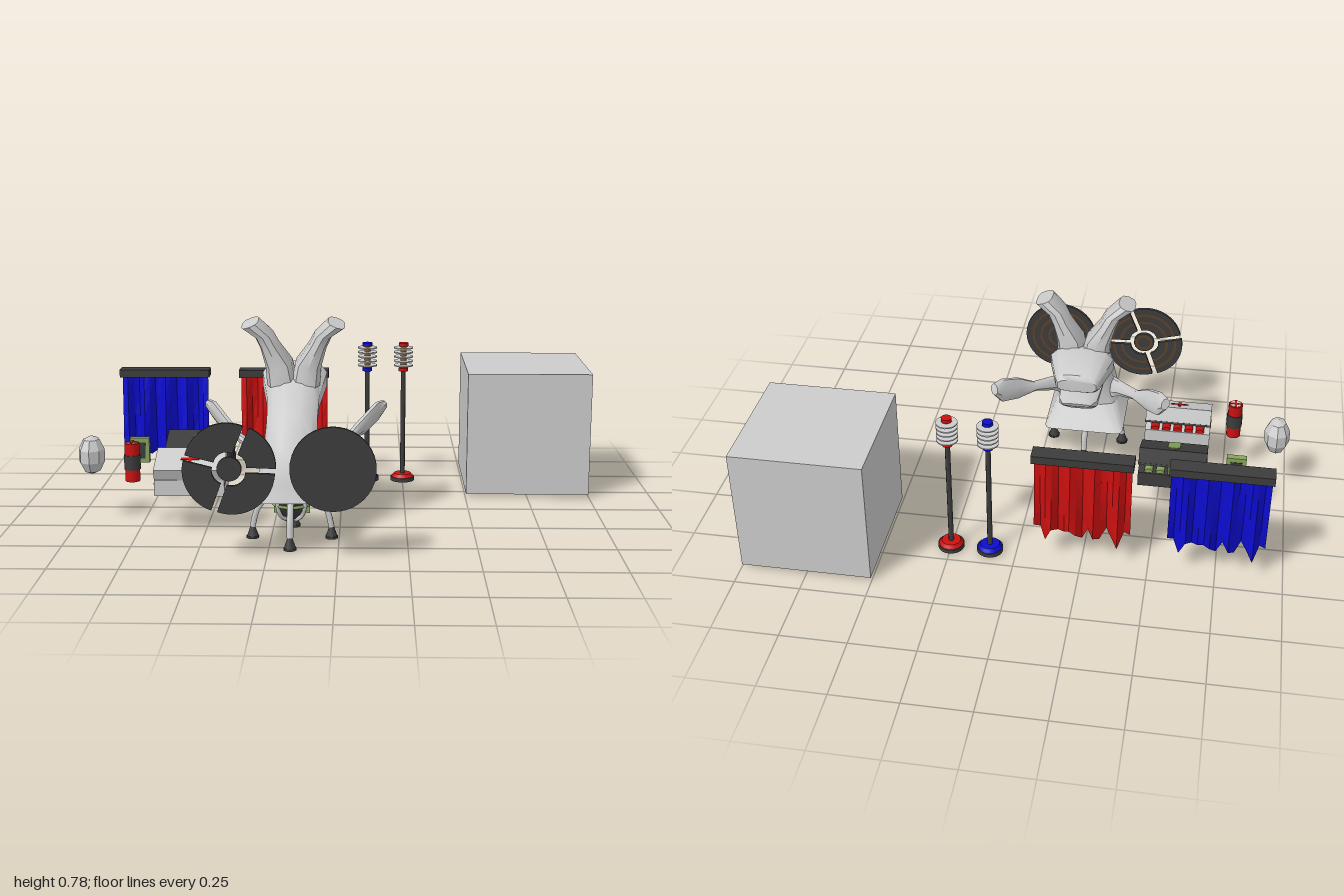
import * as THREE from 'three';
import { toCreasedNormals } from 'three/addons/utils/BufferGeometryUtils.js';

const mat = (color, o = {}) => new THREE.MeshStandardMaterial({ color, ...o });
const GREY = mat(0xcccccc), FACET = mat(0xcccccc, { flatShading: true }), DARK = mat(0x3c3c3c);
const RED = mat(0xcc1010), BLUE = mat(0x0c0cd0), GREEN = mat(0x86a45a), BROWN = mat(0x8a5c24);
const SKIN = mat(0xcccccc, { side: THREE.DoubleSide });

function add(parent, name, geo, material, x = 0, y = 0, z = 0) {
  const m = new THREE.Mesh(geo, material);
  m.name = name;
  m.position.set(x, y, z);
  parent.add(m);
  return m;
}
function group(parent, name, x = 0, y = 0, z = 0) {
  const g = new THREE.Group();
  g.name = name;
  g.position.set(x, y, z);
  parent.add(g);
  return g;
}
const box = (w, h, d) => new THREE.BoxGeometry(w, h, d);
const cyl = (a, b, h, n = 16) => new THREE.CylinderGeometry(a, b, h, n);

// Skin through sections {c: centre, u, v: half axes, p: 1 oval, towards 0 square}
function loft(sections, n = 12, crease = 0.7) {
  const pos = [], idx = [];
  const pw = (t, p) => Math.sign(t) * Math.pow(Math.abs(t), p);
  for (const { c, u, v, p = 1 } of sections) {
    for (let i = 0; i < n; i++) {
      const a = (i + 0.5) / n * Math.PI * 2, s = pw(Math.cos(a), p), t = pw(Math.sin(a), p);
      pos.push(...c.map((q, k) => q + u[k] * s + v[k] * t));
    }
  }
  const last = sections.length - 1;
  for (let j = 0; j < last; j++) for (let i = 0; i < n; i++) {
    const a = j * n + i, b = j * n + (i + 1) % n;
    idx.push(a, b, a + n, b, b + n, a + n);
  }
  for (let i = 1; i < n - 1; i++) idx.push(0, i + 1, i, last * n, last * n + i, last * n + i + 1);
  const g = new THREE.BufferGeometry();
  g.setAttribute('position', new THREE.Float32BufferAttribute(pos, 3));
  g.setIndex(idx);
  return toCreasedNormals(g, crease);
}
// Section in the side plane, from upper point (z, y) to lower point (z, y), with half width
const slice = ([z1, y1, z2, y2, w, p]) => ({
  c: [0, (y1 + y2) / 2, (z1 + z2) / 2], u: [0, (y1 - y2) / 2, (z1 - z2) / 2], v: [w, 0, 0], p });

function buildCreature(root) {
  const g = group(root, 'creature', -0.173, 0, 0);
  add(g, 'body', loft([
    [0.5, 0.165, 0.19, 0.165, 0.16, 0.15], [0.49, 0.23, 0.3, 0.23, 0.125, 0.55],
    [0.46, 0.37, 0.3, 0.34, 0.1, 0.8], [0.36, 0.465, 0.285, 0.385, 0.095, 0.85],
    [0.26, 0.555, 0.24, 0.42, 0.1, 0.85], [0.1, 0.615, 0.12, 0.475, 0.125, 0.75],
    [-0.04, 0.578, -0.02, 0.49, 0.085, 0.6], [-0.052, 0.56, -0.05, 0.51, 0.075, 0.6],
  ].map(slice)), SKIN);
  add(g, 'lowerJaw', loft([
    [0.27, 0.43, 0.28, 0.39, 0.08], [0.13, 0.455, 0.14, 0.42, 0.085],
    [0, 0.462, 0.02, 0.39, 0.075, 0.7], [-0.05, 0.455, -0.045, 0.44, 0.055, 0.7],
  ].map(slice)), SKIN);
  for (const s of [-1, 1]) {
    // Tall ears, bent outwards at the tips
    add(g, s < 0 ? 'rightEar' : 'leftEar', loft([
      [0.045, 0.55, 0.175, 0.055, 0.085], [0.055, 0.62, 0.175, 0.05, 0.08],
      [0.09, 0.69, 0.18, 0.034, 0.072], [0.11, 0.73, 0.185, 0.033, 0.07],
      [0.16, 0.772, 0.195, 0.032, 0.07],
    ].map(([x, y, z, a, b], i) => ({
      c: [s * x, y, z], u: [s * a, -a * (i > 3 ? 0.35 : 0.1), 0], v: [0, b * 0.12, -b], p: 0.7 })), 10), SKIN);
    // Arms ending in paddle hands
    add(g, s < 0 ? 'rightArm' : 'leftArm', loft([
      [0.08, 0.28, 0.37, 0.05], [0.14, 0.315, 0.3, 0.028], [0.205, 0.345, 0.22, 0.018],
      [0.26, 0.375, 0.15, 0.042], [0.31, 0.41, 0.07, 0.046], [0.335, 0.43, 0.04, 0.022],
    ].map(([x, y, z, h]) => ({
      c: [s * x, y, z], u: [0, h * 0.9, h * 0.45], v: [s * 0.016, 0, 0.012] })), 8), SKIN);
  }
  // Round engine pod with ribs under the skirt
  const pod = group(g, 'pod', 0, 0, 0.38);
  const profile = [[0.001, 0.075], [0.025, 0.08], [0.045, 0.1], [0.06, 0.13], [0.065, 0.165]];
  add(pod, 'podShell', new THREE.LatheGeometry(profile.map(p => new THREE.Vector2(...p)), 16), DARK);
  add(pod, 'podRing', new THREE.TorusGeometry(0.068, 0.006, 6, 24), GREEN, 0, 0.135, 0).rotation.x = Math.PI / 2;
  add(pod, 'podPlate', cyl(0.085, 0.085, 0.008, 24), DARK, 0, 0.16, 0);
  const curve = pts => new THREE.CatmullRomCurve3(pts.map(([x, y]) => new THREE.Vector3(x, y, 0)));
  const leg = new THREE.TubeGeometry(curve([[0.07, 0.17], [0.1, 0.15], [0.13, 0.105], [0.145, 0.045]]), 10, 0.012, 6);
  const rib = new THREE.TubeGeometry(curve([[0.07, 0.165], [0.068, 0.125], [0.05, 0.092], [0.02, 0.075]]), 8, 0.008, 5);
  for (let i = 0; i < 8; i++) {
    const arm = group(pod, i % 2 ? 'ribGroup' : 'legGroup');
    arm.rotation.y = i * Math.PI / 4;
    if (i % 2) {
      add(arm, 'rib', rib, GREY);
      continue;
    }
    add(arm, 'greenStrip', box(0.012, 0.05, 0.02), GREEN, 0.06, 0.125, 0);
    add(arm, 'leg', leg, GREY);
    add(arm, 'foot', cyl(0.008, 0.023, 0.042, 10), DARK, 0.145, 0.027, 0);
    add(arm, 'footPad', cyl(0.024, 0.024, 0.008, 10), DARK, 0.145, 0.006, 0);
  }
}

// Annular wedge, extruded in z
function wedge(r0, r1, a0, a1) {
  const s = new THREE.Shape();
  s.absarc(0, 0, r1, a0, a1, false);
  if (r0) s.absarc(0, 0, r0, a1, a0, true);
  return new THREE.ExtrudeGeometry(s, { depth: 0.013, bevelEnabled: false, curveSegments: 24 });
}
function backRings(parent, radii, a0 = 0, a1 = Math.PI * 2) {
  for (const r of radii) add(parent, 'backRing',
    new THREE.RingGeometry(r - 0.005, r + 0.005, 32, 1, a0, a1 - a0),
    mat(0x5e4228, { side: THREE.DoubleSide }), 0, 0, -0.001);
}
function buildDiscs(root) {
  const whole = group(root, 'wholeDisc', -0.015, 0.335, 0.648);
  add(whole, 'plate', cyl(0.15, 0.15, 0.013, 40), DARK, 0, 0, 0.0065).rotation.x = Math.PI / 2;
  backRings(whole, [0.05, 0.085, 0.12]);
  // Same disc broken into pieces that drift apart
  const split = group(root, 'splitDisc', -0.373, 0.335, 0.648);
  const cuts = [-2, 67, 166, 250, 358].map(THREE.MathUtils.degToRad);
  for (let i = 0; i < 4; i++) {
    const mid = (cuts[i] + cuts[i + 1]) / 2;
    const piece = group(split, 'piece', Math.cos(mid) * 0.014, Math.sin(mid) * 0.014, 0);
    add(piece, 'plate', wedge(0.048, 0.15, cuts[i], cuts[i + 1]), DARK);
    backRings(piece, [0.085, 0.12], cuts[i], cuts[i + 1]);
  }
  add(split, 'hub', cyl(0.043, 0.043, 0.013, 24), DARK, 0, 0, 0.0065).rotation.x = Math.PI / 2;
  backRings(split, [0.03]);
}

function buildBanner(root, name, x, colour) {
  const g = group(root, name, x, 0, -0.42);
  add(g, 'bar', box(0.373, 0.032, 0.065), DARK, 0, 0.465, 0);
  const n = 16, cloth = new THREE.PlaneGeometry(0.36, 0.35, n, 4), p = cloth.attributes.position;
  for (let i = 0; i < p.count; i++) {
    const col = i % (n + 1), row = Math.floor(i / (n + 1)), f = row / 4;
    const hem = row < 4 ? 0 : (col % 3 === 2 ? -0.005 - 0.012 * Math.sin(col) : 0.02 * (1 + col % 3));
    p.setY(i, 0.455 - 0.35 * f + hem);
    p.setZ(i, (0.01 + 0.016 * f) * Math.sin(col * 1.7 + f));
  }
  cloth.computeVertexNormals();
  add(g, 'cloth', cloth, mat(colour, { side: THREE.DoubleSide, flatShading: true }));
}

function buildPole(root, name, x, m) {
  const g = group(root, name, x, 0, -0.42);
  add(g, 'foot', cyl(0.05, 0.05, 0.016, 20), DARK, 0, 0.014, 0);
  add(g, 'footCap', cyl(0.036, 0.046, 0.014, 20), m, 0, 0.029, 0);
  add(g, 'shaft', cyl(0.01, 0.01, 0.45, 8), DARK, 0, 0.255, 0);
  add(g, 'collar', cyl(0.02, 0.02, 0.014, 12), m, 0, 0.482, 0);
  add(g, 'core', cyl(0.013, 0.013, 0.09, 10), BROWN, 0, 0.535, 0);
  for (let i = 0; i < 5; i++) add(g, 'coilDisc', cyl(0.04, 0.04, 0.005, 16), GREY, 0, 0.499 + i * 0.0185, 0);
  add(g, 'cap', cyl(0.02, 0.02, 0.014, 12), m, 0, 0.587, 0);
}

// Case with its lid hinged at the front and raised at the back
function buildCase(root, name, z, shell, fill) {
  const g = group(root, name, -0.555, 0, z);
  add(g, 'base', box(0.26, 0.06, 0.15), shell, 0, 0.175, 0);
  const lid = group(g, 'lid', 0, 0.242, 0.01);
  lid.rotation.x = 0.385;
  add(lid, 'lidShell', box(0.26, 0.068, 0.142), shell);
  add(lid, 'lidTrim', box(0.264, 0.008, 0.146), DARK, 0, -0.03, 0);
  for (let i = 0; i < 5; i++) {
    const c = add(g, 'content', cyl(0.017, 0.017, 0.1, 10), fill, -0.09 + i * 0.045, 0.205, -0.02);
    c.rotation.x = Math.PI / 2;
  }
  return lid;
}

export function createModel() {
  const root = new THREE.Group();
  buildCreature(root);
  buildDiscs(root);
  buildBanner(root, 'blueBanner', -0.745, 0x0c0cd0);
  buildBanner(root, 'redBanner', -0.247, 0xcc1010);
  buildPole(root, 'bluePole', 0.1, BLUE);
  buildPole(root, 'redPole', 0.25, RED);
  add(root, 'block', box(0.495, 0.495, 0.495), GREY, 0.7505, 0.2625, -0.4165);

  // Medical case with a cross, and a dark case with a round-ended plaque
  const med = buildCase(root, 'medicalCase', 0.262, GREY, RED);
  add(med, 'crossBar', box(0.07, 0.004, 0.012), RED, 0, 0.035, 0);
  add(med, 'crossBar', box(0.012, 0.004, 0.07), RED, 0, 0.035, 0);
  const ammo = buildCase(root, 'darkCase', -0.035, DARK, GREEN);
  add(ammo, 'plaque', box(0.048, 0.004, 0.08), GREEN, 0, 0.035, 0.02);
  add(ammo, 'plaqueEnd', cyl(0.024, 0.024, 0.004, 16), GREEN, 0, 0.035, -0.02);

  const can = group(root, 'canister', -0.778, 0.252, 0.245);
  add(can, 'canBody', cyl(0.028, 0.028, 0.146), RED);
  add(can, 'canBand', cyl(0.031, 0.031, 0.055), DARK);
  add(can, 'canTop', cyl(0.022, 0.022, 0.004), GREY, 0, 0.073, 0);
  for (const d of [[0.05, 0.008], [0.008, 0.05]]) add(can, 'canCross', box(d[0], 0.006, d[1]), RED, 0, 0.074, 0);

  const clip = group(root, 'smallPack', -0.797, 0.225, -0.047);
  add(clip, 'packBody', box(0.076, 0.1, 0.026), GREEN);
  add(clip, 'packInset', box(0.045, 0.065, 0.03), DARK);

  add(root, 'rock', new THREE.SphereGeometry(1, 8, 5), FACET, -0.948, 0.255, 0.155).scale.set(0.052, 0.076, 0.064);
  return root;
}
